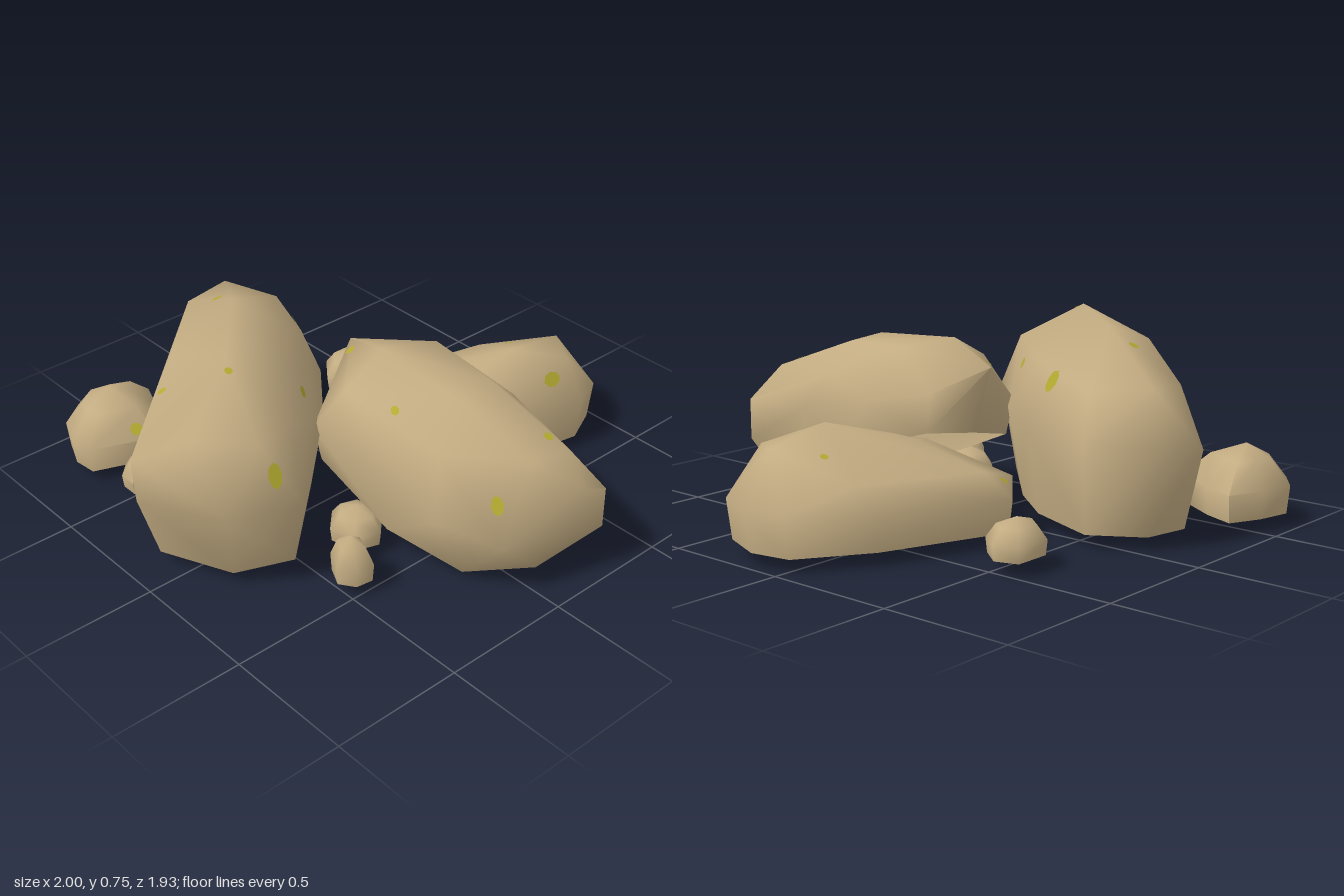
import * as THREE from 'three';
import { ConvexGeometry } from 'three/addons/geometries/ConvexGeometry.js';
import { toCreasedNormals } from 'three/addons/utils/BufferGeometryUtils.js';

const stone = new THREE.MeshStandardMaterial({ color: 0xc3ac82, side: THREE.DoubleSide });
stone.name = 'sandstone';
const moss = new THREE.MeshStandardMaterial({ color: 0xb2aa30, side: THREE.DoubleSide });
moss.name = 'moss';
const BASE = 0.05;

// Rounded hollow rock: hull of its corner points, left open on the side facing `open`
function rock(name, points, open = [0, -1, 0]) {
  const hull = new ConvexGeometry(points.map((p) => new THREE.Vector3(...p)));
  const pos = hull.getAttribute('position');
  const openDir = new THREE.Vector3(...open).normalize();
  const tri = new THREE.Triangle();
  const normal = new THREE.Vector3();
  const kept = [];
  for (let i = 0; i < pos.count; i += 3) {
    tri.setFromAttributeAndIndices(pos, i, i + 1, i + 2);
    if (tri.getNormal(normal).dot(openDir) < 0.87) kept.push(tri.a.clone(), tri.b.clone(), tri.c.clone());
  }
  const shell = new THREE.BufferGeometry().setFromPoints(kept);
  const mesh = new THREE.Mesh(toCreasedNormals(shell, 1.45), stone);
  mesh.name = name;
  return mesh;
}

// Foot of a boulder: plan outline shrunk around a centre, at ground height
const foot = (outline, cx, cz, s) =>
  outline.map(([x, , z]) => [cx + (x - cx) * s, BASE, cz + (z - cz) * s]);

// Small stone: plan outline [x, z] raised through a bulging dome
function pebble(name, outline, h, shoulder = 0.66) {
  const n = outline.length;
  const cx = outline.reduce((a, p) => a + p[0], 0) / n;
  const cz = outline.reduce((a, p) => a + p[1], 0) / n;
  const points = [[cx, BASE + h, cz]];
  for (const [t, s] of [[0, 0.94], [0.42, 1], [0.8, shoulder]])
    for (const [x, z] of outline) points.push([cx + (x - cx) * s, BASE + h * t, cz + (z - cz) * s]);
  return rock(name, points);
}

// Six-sided plan outline for the tiny stones
const hexagon = (x, z, rx, rz, turn) =>
  Array.from({ length: 6 }, (_, i) => {
    const a = turn + (i * Math.PI) / 3;
    return [x + rx * Math.cos(a), z + rz * Math.sin(a)];
  });

// Thin moss patch on both faces of the shell where a ray meets it
function mossPatch(target, from, dir, rx, ry) {
  const patch = new THREE.Group();
  patch.name = 'mossPatch';
  const hit = new THREE.Raycaster(new THREE.Vector3(...from), new THREE.Vector3(...dir)).intersectObject(target)[0];
  if (!hit) return patch;
  for (const offset of [0.003, -0.003]) {
    const mesh = new THREE.Mesh(new THREE.CircleGeometry(1, 8), moss);
    mesh.name = 'mossFace';
    mesh.scale.set(rx, ry, 1);
    mesh.position.copy(hit.point).addScaledVector(hit.face.normal, offset);
    mesh.quaternion.setFromUnitVectors(new THREE.Vector3(0, 0, 1), hit.face.normal);
    patch.add(mesh);
  }
  return patch;
}

export function createModel() {
  const group = new THREE.Group();
  group.name = 'rockPile';

  // Tall long boulder at the back
  const tallRim = [
    [-0.99, 0.36, -0.05], [-0.85, 0.38, 0.27], [-0.6, 0.38, 0.37], [-0.2, 0.38, 0], [0, 0.38, -0.25],
    [0.14, 0.4, -0.61], [0, 0.38, -0.83], [-0.21, 0.35, -0.87], [-0.57, 0.38, -0.52],
  ];
  const tall = rock('tallBoulder', [
    ...tallRim, ...foot(tallRim, -0.27, -0.4, 0.84), [-1, 0.53, -0.05],
    [-0.57, 0.75, -0.07], [-0.28, 0.73, -0.41], [-0.88, 0.65, 0.14], [-0.05, 0.575, -0.765],
    [-0.7, 0.61, 0.26], [-0.54, 0.6, 0.22], [-0.1, 0.6, -0.24], [0.05, 0.55, -0.57],
    [-0.24, 0.56, -0.75], [-0.6, 0.64, -0.36],
  ]);

  // Low boulder on the left
  const lowRim = [
    [0.22, 0.17, -0.37], [0.71, 0.18, -0.19], [0.97, 0.2, -0.02], [1, 0.18, 0.14], [0.93, 0.2, 0.32],
    [0.78, 0.22, 0.39], [0.2, 0.2, 0.29], [0, 0.2, 0], [0.04, 0.2, -0.22],
  ];
  const low = rock('lowBoulder', [
    ...lowRim, ...foot(lowRim, 0.4, 0.03, 0.97),
    [0.59, 0.43, 0.18], [0.86, 0.38, 0.17], [0.78, 0.37, 0.3], [0.28, 0.34, 0.04],
    [0.72, 0.27, -0.11], [0.22, 0.25, -0.24], [0.45, 0.36, 0.26], [0.12, 0.3, 0.13],
  ]);

  // Leaning boulder at the front, its open underside rising to the back
  const leaning = rock('leaningBoulder', [
    [-0.04, 0.66, 0.13], [0.17, 0.64, 0.2], [0.02, 0.58, -0.1], [0.24, 0.5, 0], [-0.23, 0.57, 0.15],
    [-0.04, 0.64, 0.51], [0.14, 0.63, 0.5], [0, 0.52, 0.83], [0.17, 0.5, 0.86], [-0.2, 0.52, 0.6], [0.26, 0.52, 0.5],
    [-0.29, 0.4, 0.05], [-0.27, 0.3, 0.66], [-0.15, 0.25, 0.87], [0.25, 0.36, 0.96], [0.15, 0.4, 0.95],
    [0.3, 0.45, 0.27], [0.3, 0.38, 0.6], [0.26, 0.36, 0],
    [0.1, 0, 0.8], [0.25, 0.2, 0.96], [0.25, 0.06, 0.78], [-0.14, 0.03, 0.67],
    [-0.25, 0.12, 0.4], [0.27, 0.14, 0.64], [0.29, 0.24, 0.4], [0, 0.32, 0], [-0.27, 0.26, 0.07],
  ], [0.23, -0.9, -0.37]);
  group.add(tall, low, leaning);

  // Loose stones around the boulders
  const backStone = pebble('backStone', [[-0.8, -0.77], [-0.75, -0.89], [-0.64, -0.97], [-0.5, -0.94],
    [-0.37, -0.88], [-0.42, -0.75], [-0.53, -0.57], [-0.79, -0.67]], 0.25, 0.55);
  group.add(
    backStone,
    pebble('backLeftStone', [[0.27, -0.53], [0.35, -0.63], [0.5, -0.63], [0.53, -0.54], [0.46, -0.45], [0.31, -0.45]], 0.13),
    pebble('sideStone', [[-0.75, -0.52], [-0.7, -0.57], [-0.58, -0.55], [-0.55, -0.48], [-0.63, -0.43], [-0.75, -0.45]], 0.12),
    pebble('tallStone', [[-0.53, 0.45], [-0.49, 0.37], [-0.44, 0.36], [-0.385, 0.43], [-0.42, 0.52], [-0.49, 0.51]], 0.17),
    pebble('tuckedStone', hexagon(-0.29, 0.28, 0.1, 0.11, 0.3), 0.13),
    pebble('frontStone', hexagon(0.35, 0.455, 0.09, 0.1, 0.2), 0.13),
  );
  for (const [x, z, rx, rz, turn] of [[0.58, 0.48, 0.047, 0.062, 0.4], [0.385, 0.615, 0.062, 0.048, 0.1]])
    group.add(pebble('tinyStone', hexagon(x, z, rx, rz, turn), 0.07));

  // Moss patches, cast on from the front, side, above and below
  const front = [0, 0, -1], side = [-1, 0, 0], down = [0, -1, 0], up = [0, 1, 0];
  group.updateMatrixWorld(true);
  const patches = [
    [tall, [-0.67, 0.5, 3], front, 0.024, 0.048], [tall, [-0.31, 0.54, 3], front, 0.025, 0.022],
    [leaning, [-0.12, 0.38, 3], front, 0.022, 0.035], [low, [0.68, 0.32, 3], front, 0.038, 0.03],
    [tall, [3, 0.55, -0.34], side, 0.03, 0.045], [tall, [-0.26, 3, -0.53], down, 0.022, 0.02],
    [tall, [-0.74, 3, -0.22], down, 0.018, 0.015], [tall, [-0.6, 3, -0.02], down, 0.015, 0.015],
    [leaning, [-0.04, 3, -0.03], down, 0.02, 0.02], [leaning, [-0.18, 3, 0.36], down, 0.015, 0.02],
    [leaning, [0.14, 3, 0.78], down, 0.018, 0.018], [low, [0.72, 3, 0.05], down, 0.015, 0.015],
    [low, [0.15, 3, -0.27], down, 0.018, 0.018], [backStone, [-0.6, -3, -0.63], up, 0.025, 0.025],
  ];
  for (const patch of patches) group.add(mossPatch(...patch));
  return group;
}
